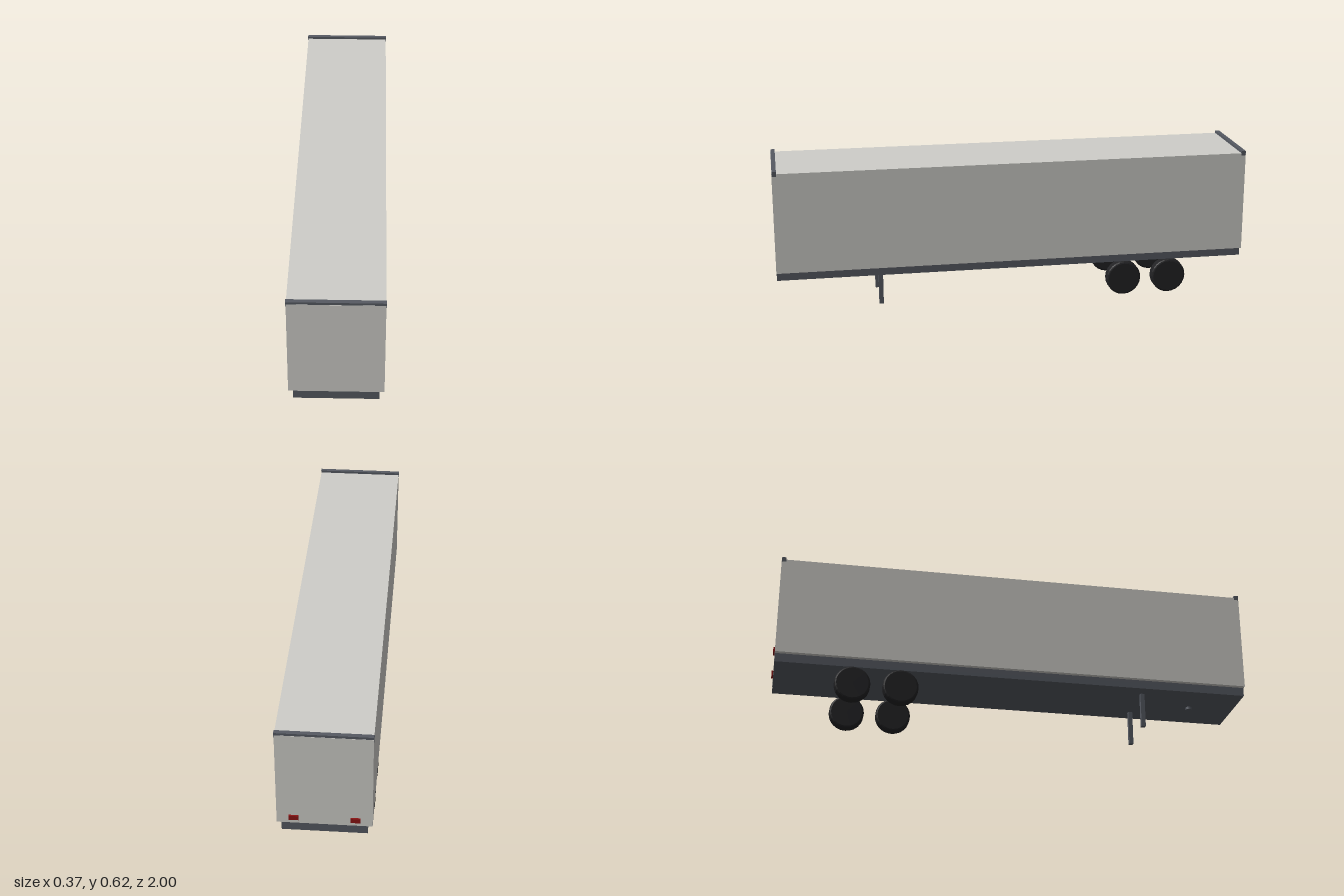
import * as THREE from 'three';

const paint = (color) => new THREE.MeshStandardMaterial({ color });

export function createModel() {
  const trailer = new THREE.Group();
  trailer.name = 'boxTrailer';

  const panel = paint(0xcfcec9);
  const steel = paint(0x565a62);
  const rubber = paint(0x222224);
  const red = paint(0x8a1212);
  rubber.flatShading = true;

  const add = (name, geometry, material, x, y, z) => {
    const mesh = new THREE.Mesh(geometry, material);
    mesh.name = name;
    mesh.position.set(x, y, z);
    trailer.add(mesh);
    return mesh;
  };

  // Box given by its two extents along y and z, centred on x
  const block = (name, material, width, y0, y1, z0, z1, x = 0) =>
    add(name, new THREE.BoxGeometry(width, y1 - y0, z1 - z0), material, x, (y0 + y1) / 2, (z0 + z1) / 2);

  // Cargo box on a slightly narrower chassis
  block('cargoBox', panel, 0.367, 0.185, 0.61, -0.993, 1);
  block('chassis', steel, 0.33, 0.148, 0.185, -0.992, 0.999);

  // Roof rails across both ends
  block('frontRoofRail', steel, 0.37, 0.6, 0.62, 0.981, 0.999);
  block('rearRoofRail', steel, 0.37, 0.6, 0.62, -0.992, -0.974);

  // Coupling pin under the nose
  add('couplingPin', new THREE.CylinderGeometry(0.013, 0.013, 0.012, 16), steel, 0, 0.143, 0.803);

  // Tyre profile with bevelled shoulders, turned around the axle
  const r = 0.074, w = 0.0225;
  const profile = [
    [0, -w], [r - 0.008, -w], [r - 0.003, -w + 0.002], [r, -w + 0.007],
    [r, w - 0.007], [r - 0.003, w - 0.002], [r - 0.008, w], [0, w],
  ].map(([px, py]) => new THREE.Vector2(px, py));
  const tyre = new THREE.LatheGeometry(profile, 24).rotateZ(Math.PI / 2);

  // Paired parts on each side
  for (const [label, s] of [['left', 1], ['right', -1]]) {
    block(`${label}LandingLeg`, steel, 0.018, 0, 0.15, 0.556, 0.574, s * 0.102);
    block(`${label}TailLight`, red, 0.037, 0.204, 0.224, -1, -0.99, s * 0.118);
    add(`${label}FrontAxleWheel`, tyre, rubber, s * 0.1535, r, -0.475);
    add(`${label}RearAxleWheel`, tyre, rubber, s * 0.1535, r, -0.673);
  }

  return trailer;
}
